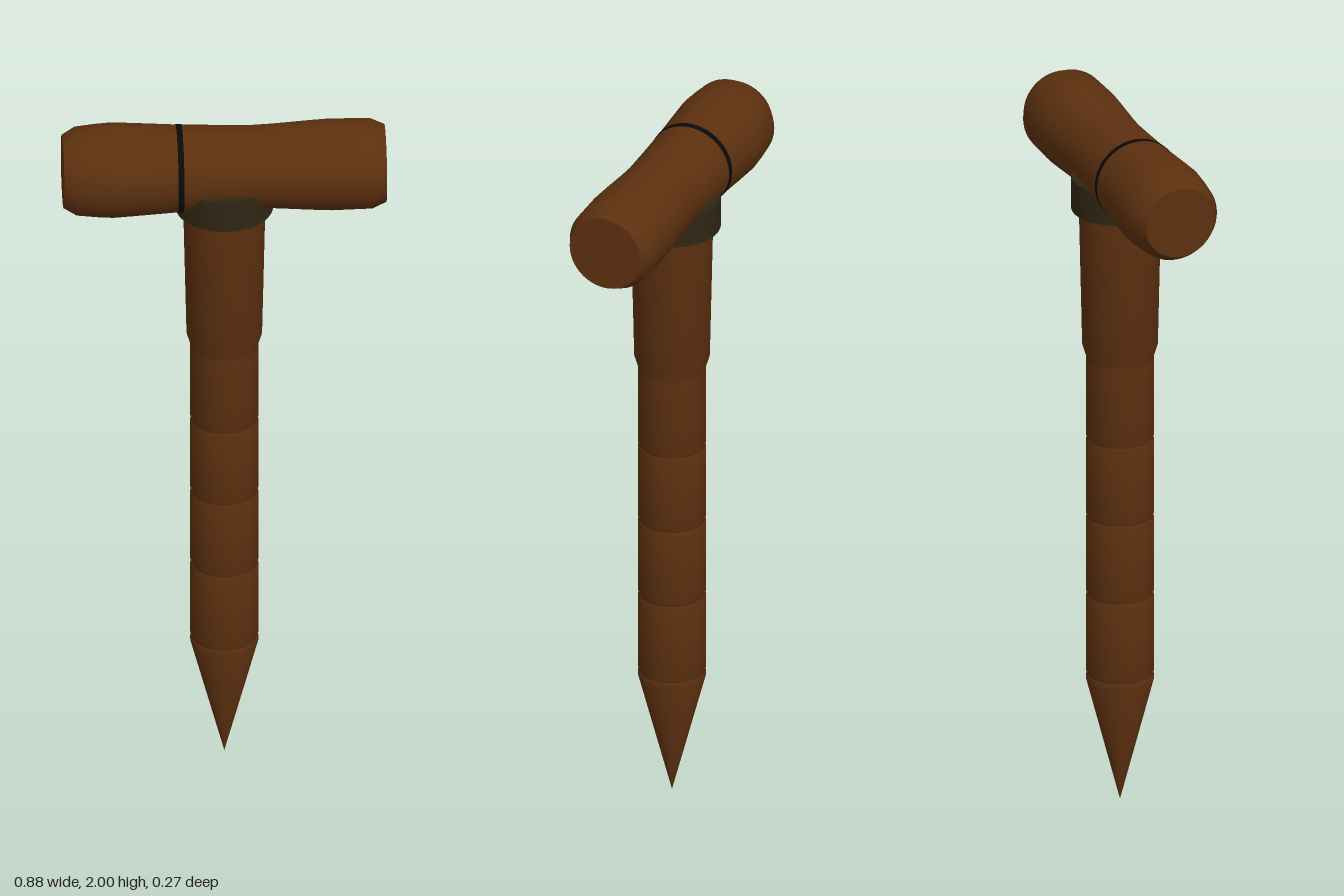
import * as THREE from 'three';
import { toCreasedNormals } from 'three/addons/utils/BufferGeometryUtils.js';

// Turned solid from [radius, height] pairs, bottom to top, with sharp edges kept
function turned(name, profile, material) {
  const points = profile.map(([r, y]) => new THREE.Vector2(r, y));
  const geometry = toCreasedNormals(new THREE.LatheGeometry(points, 48), 0.5);
  const mesh = new THREE.Mesh(geometry, material);
  mesh.name = name;
  return mesh;
}

export function createModel() {
  const wood = new THREE.MeshStandardMaterial({ color: 0x5c300f });
  wood.name = 'brown wood';
  const metal = new THREE.MeshStandardMaterial({ color: 0x2f2613 });
  metal.name = 'dark bronze';
  const black = new THREE.MeshStandardMaterial({ color: 0x0a0a0a });
  black.name = 'black';

  const model = new THREE.Group();
  model.name = 'tHandledStake';

  // Pointed shaft with shallow grooves and a thicker upper sleeve
  const shaft = [[0, 0], [0.093, 0.36]];
  for (const y of [0.375, 0.61, 0.84, 1.07]) {
    shaft.push([0.093, y - 0.01], [0.09, y], [0.093, y + 0.01]);
  }
  shaft.push([0.093, 1.3], [0.093, 1.312], [0.103, 1.345], [0.112, 1.75], [0, 1.75]);
  model.add(turned('shaft', shaft, wood));

  // Collar joining shaft and handle
  model.add(turned('collar', [[0, 1.745], [0.133, 1.745], [0.133, 1.838], [0, 1.838]], metal));

  // Crosswise handle, waisted in the middle with bevelled ends
  const handle = new THREE.Group();
  handle.name = 'handle';
  handle.add(turned('grip', [
    [0, -0.44], [0.1, -0.44], [0.121, -0.405], [0.127, -0.35], [0.13, -0.305], [0.127, -0.25],
    [0.119, -0.12], [0.115, 0], [0.113, 0.08], [0.115, 0.13], [0.122, 0.235], [0.125, 0.29],
    [0.123, 0.4], [0.106, 0.438], [0, 0.438],
  ], wood));
  handle.add(turned('band', [
    [0.115, -0.13], [0.121, -0.13], [0.12, -0.114], [0.115, -0.114],
  ], black));
  handle.rotation.z = -Math.PI / 2;
  handle.position.y = 1.87;
  model.add(handle);

  return model;
}
